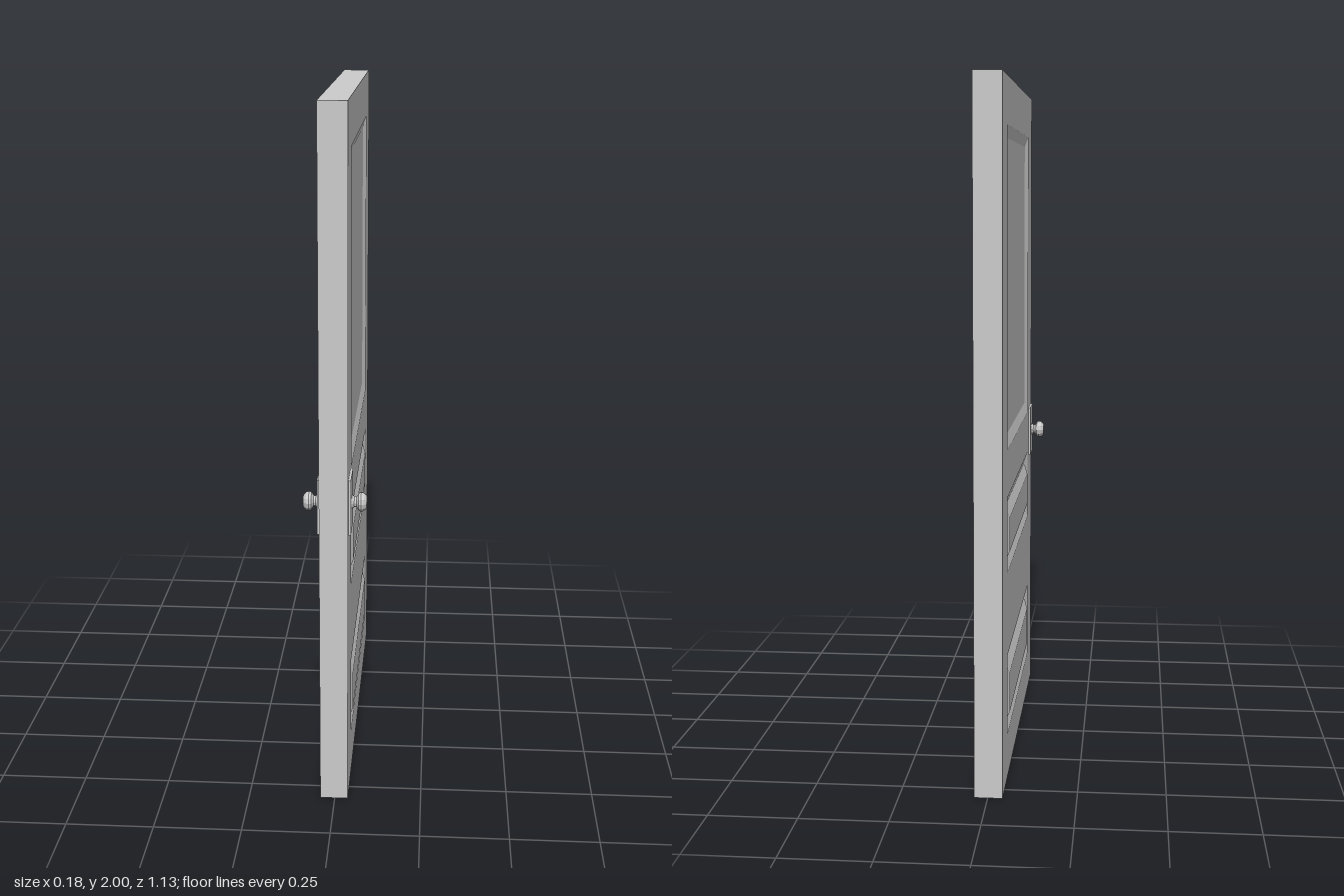
import * as THREE from 'three';

const HALF_WIDTH = 0.565, HEIGHT = 2, HALF_THICK = 0.04, CENTRE_X = -0.002;

// Each panel is a series of nested rectangles: [half width, bottom, top, height above the door face]
const raisedPanel = (y0, y1) => [
  [0.405, y0, y1, 0],
  [0.378, y0 + 0.027, y1 - 0.034, -0.01],
  [0.35, y0 + 0.053, y1 - 0.066, 0.003],
];
const PANELS = {
  upperPanel: [[0.405, 0.963, 1.868, 0], [0.382, 0.995, 1.836, -0.01]],
  middlePanel: raisedPanel(0.607, 0.827),
  lowerPanel: raisedPanel(0.127, 0.365),
};

const material = new THREE.MeshStandardMaterial({ color: 0xcccccc });
const flatMaterial = new THREE.MeshStandardMaterial({ color: 0xcccccc, flatShading: true });

function addMesh(parent, name, geometry, mat = material) {
  const mesh = new THREE.Mesh(geometry, mat);
  mesh.name = name;
  parent.add(mesh);
  return mesh;
}

// Sloping bands between nested rectangles, closed by a flat field
function panelGeometry(loops) {
  const corners = loops.map(([w, y0, y1, z]) =>
    [[-w, y0, z], [w, y0, z], [w, y1, z], [-w, y1, z]]);
  const positions = [];
  const quad = (a, b, c, d) => positions.push(...a, ...b, ...c, ...a, ...c, ...d);
  for (let k = 0; k < corners.length - 1; k++) {
    for (let i = 0; i < 4; i++) {
      const j = (i + 1) % 4;
      quad(corners[k][i], corners[k][j], corners[k + 1][j], corners[k + 1][i]);
    }
  }
  quad(...corners[corners.length - 1]);
  const geometry = new THREE.BufferGeometry();
  geometry.setAttribute('position', new THREE.Float32BufferAttribute(positions, 3));
  geometry.computeVertexNormals();
  return geometry;
}

// Door slab with openings for the panels
function frameGeometry() {
  const rectangle = (Type, w, y0, y1) => new Type([
    new THREE.Vector2(-w, y0), new THREE.Vector2(w, y0),
    new THREE.Vector2(w, y1), new THREE.Vector2(-w, y1),
  ]);
  const shape = rectangle(THREE.Shape, HALF_WIDTH, 0, HEIGHT);
  for (const [[w, y0, y1]] of Object.values(PANELS)) {
    shape.holes.push(rectangle(THREE.Path, w, y0, y1));
  }
  return new THREE.ExtrudeGeometry(shape, { depth: 2 * HALF_THICK, bevelEnabled: false })
    .translate(0, 0, -HALF_THICK).rotateY(Math.PI / 2);
}

// Backplate and turned knob, pointing along +z from the door face
function createHandle() {
  const handle = new THREE.Group();
  handle.name = 'handle';
  addMesh(handle, 'backplate', new THREE.BoxGeometry(0.108, 0.16, 0.012)).position.z = 0.001;
  const profile = [
    [0.021, 0], [0.02, 0.008], [0.015, 0.014], [0.015, 0.02], [0.025, 0.026],
    [0.028, 0.033], [0.026, 0.041], [0.018, 0.049], [0, 0.05],
  ].map(([r, h]) => new THREE.Vector2(r, h));
  addMesh(handle, 'knob', new THREE.LatheGeometry(profile, 12).rotateX(Math.PI / 2), flatMaterial);
  return handle;
}

export function createModel() {
  const door = new THREE.Group();
  door.name = 'door';
  addMesh(door, 'frame', frameGeometry()).position.x = CENTRE_X;

  // Both faces carry the same panels and a handle near the front edge
  for (const side of [1, -1]) {
    const face = new THREE.Group();
    face.name = side > 0 ? 'leftFace' : 'rightFace';
    face.rotation.y = side * Math.PI / 2;
    face.position.x = CENTRE_X + side * HALF_THICK;
    for (const [name, loops] of Object.entries(PANELS)) {
      addMesh(face, name, panelGeometry(loops));
    }
    const handle = createHandle();
    handle.position.set(-side * 0.487, 0.892, 0);
    face.add(handle);
    door.add(face);
  }
  return door;
}
